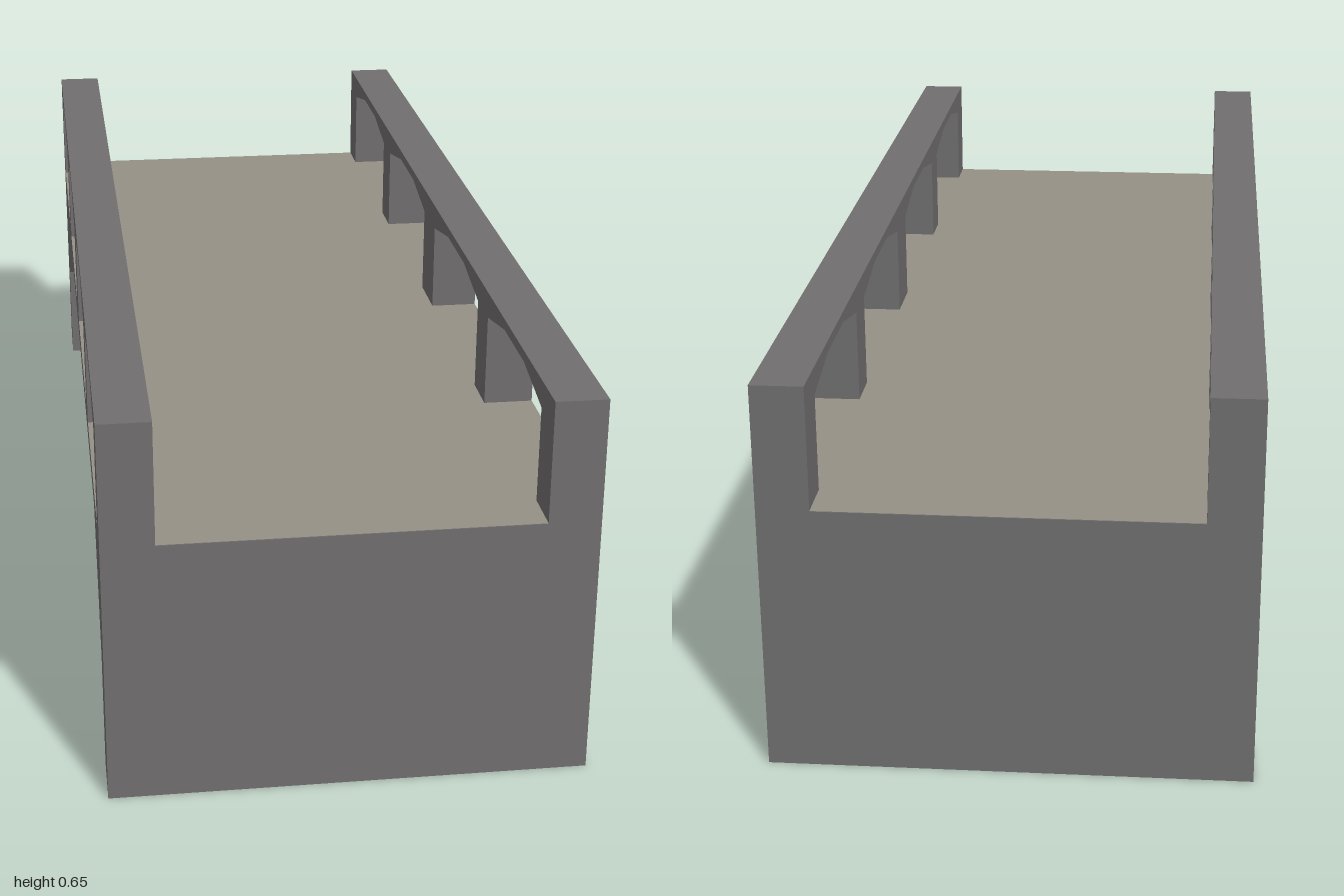
import * as THREE from 'three';

const HALF_WIDTH = 0.39, RAIL = 0.085, DECK_Y = 0.449, TOP_Y = 0.654;

// Extrudes a side outline of [z, y] points across x, centred on x = 0.
function extrudeSide(points, width) {
  const shape = new THREE.Shape(points.map(([z, y]) => new THREE.Vector2(z, y)));
  const geometry = new THREE.ExtrudeGeometry(shape, { depth: width, bevelEnabled: false });
  geometry.translate(0, 0, -width / 2);
  geometry.rotateY(-Math.PI / 2);
  return geometry;
}

export function createModel() {
  const stone = new THREE.MeshStandardMaterial({ color: 0x706e6f });
  stone.name = 'grey stone';
  const paving = new THREE.MeshStandardMaterial({ color: 0x969086 });
  paving.name = 'beige paving';

  const model = new THREE.Group();
  model.name = 'bridge';
  const add = (name, geometry, material) => {
    const mesh = new THREE.Mesh(geometry, material);
    mesh.name = name;
    model.add(mesh);
    return mesh;
  };

  // Abutments, haunches and deck slab in one outline
  const bodyTop = DECK_Y - 0.001;
  const leg = [[0.77, 0.41], [0.9, 0.205], [0.9, 0], [1, 0], [1, bodyTop]];
  const mirroredLeg = leg.map(([z, y]) => [-z, y]).reverse();
  add('bridgeBody', extrudeSide([...leg, ...mirroredLeg], HALF_WIDTH * 2), stone);

  // Road surface, running through the parapet openings
  const road = new THREE.PlaneGeometry(HALF_WIDTH * 2, 2).rotateX(-Math.PI / 2);
  add('roadSurface', road, paving).position.y = DECK_Y;

  // Parapet outline: top rail, end posts and four arched openings
  const outline = [[1, bodyTop], [1, TOP_Y], [-1, TOP_Y], [-1, bodyTop]];
  for (const [a, b] of [[-0.92, -0.533], [-0.452, -0.053], [0.053, 0.452], [0.533, 0.92]]) {
    const third = (b - a) * 0.32;
    outline.push([a, bodyTop], [a, 0.61], [a + third, 0.636],
      [b - third, 0.636], [b, 0.61], [b, bodyTop]);
  }
  const parapet = extrudeSide(outline, RAIL);
  for (const side of [-1, 1]) {
    const name = side > 0 ? 'leftParapet' : 'rightParapet';
    add(name, parapet, stone).position.x = side * (HALF_WIDTH - RAIL / 2);
  }

  return model;
}
